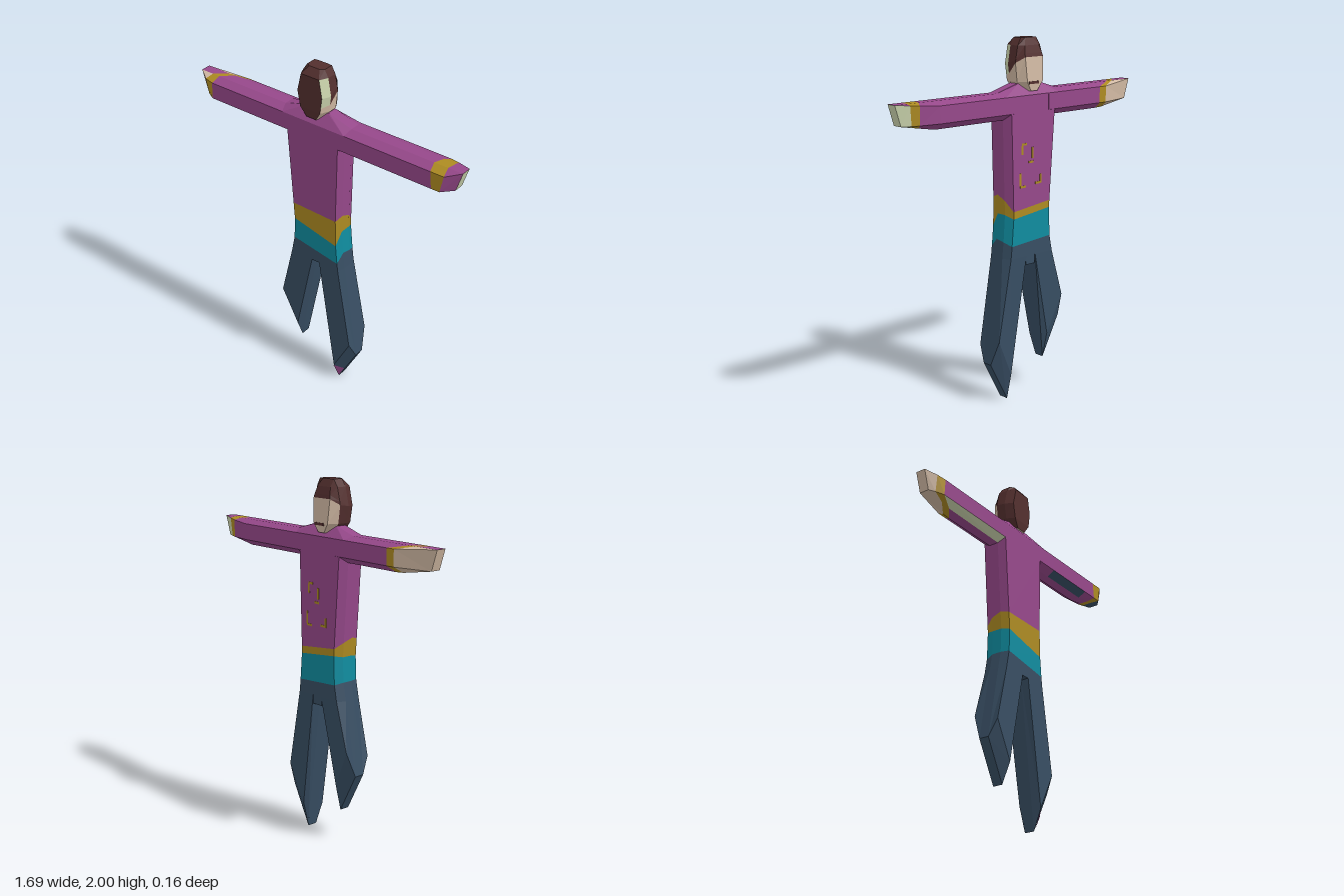
import * as THREE from 'three';

const paint = (name, color) => Object.assign(new THREE.MeshStandardMaterial({ color }), { name });
const purple = paint('purple', 0x96488a), gold = paint('gold', 0xad8b22), teal = paint('teal', 0x108c9f);
const navy = paint('navy', 0x384e63), brown = paint('brown', 0x532f2e);
const skin = paint('skin', 0xd2baa4), pale = paint('pale', 0xccd5ae);

const V = (x, y, z) => new THREE.Vector3(x, y, z);
const lerp = THREE.MathUtils.lerp;

// Value at y from a table of [y, value...] rows in rising y
function sample(rows, y, k) {
  let i = 0;
  while (i < rows.length - 2 && y > rows[i + 1][0]) i++;
  const a = rows[i], b = rows[i + 1];
  const t = THREE.MathUtils.clamp((y - a[0]) / (b[0] - a[0]), 0, 1);
  return lerp(a[k], b[k], t);
}

// Faceted skin through rings of eight points; colour(band, side) picks the
// material, with side -1 for the first cap and -2 for the last
function loft(name, rings, colour) {
  const tris = [];
  const add = (mat, a, b, c) => tris.push({ mat, p: [a, b, c] });
  for (let i = 0; i < rings.length - 1; i++) {
    for (let j = 0; j < 8; j++) {
      const k = (j + 1) % 8, m = colour(i, j);
      add(m, rings[i][j], rings[i][k], rings[i + 1][k]);
      add(m, rings[i][j], rings[i + 1][k], rings[i + 1][j]);
    }
  }
  const first = rings[0], last = rings[rings.length - 1];
  for (let j = 1; j < 7; j++) {
    add(colour(0, -1), first[0], first[j + 1], first[j]);
    add(colour(rings.length - 2, -2), last[0], last[j], last[j + 1]);
  }
  // Turn all faces outward
  let volume = 0;
  const centre = first[0];
  for (const { p } of tris) {
    const [a, b, c] = p.map(q => q.clone().sub(centre));
    volume += a.dot(b.cross(c));
  }
  if (volume < 0) tris.forEach(t => t.p.reverse());
  const mats = [...new Set(tris.map(t => t.mat))];
  const pts = [], geo = new THREE.BufferGeometry();
  mats.forEach((m, n) => {
    const start = pts.length;
    tris.filter(t => t.mat === m).forEach(t => pts.push(...t.p));
    geo.addGroup(start, pts.length - start, n);
  });
  geo.setFromPoints(pts);
  geo.computeVertexNormals();
  const mesh = new THREE.Mesh(geo, mats);
  mesh.name = name;
  return mesh;
}

// Bevelled horizontal section: points 0-3 on +x from front to back, 4-7 on -x
function section(ys, left, right, inF, inB, zf, zb) {
  const at = (f, j) => (typeof f === 'function' ? f(ys[j]) : f);
  return ys.map((y, j) => {
    const q = j < 4 ? j : 7 - j, s = j < 4 ? 1 : -1;
    const x = at(j < 4 ? right : left, j) - s * [inF, 0, 0, inB][q];
    const z = [at(zf, j), Math.min(0.03, at(zf, j)), Math.max(-0.027, at(zb, j)), at(zb, j)][q];
    return V(x, y, z);
  });
}
const level = y => Array(8).fill(y);

function torso() {
  const sides = [[0.82, -0.2, 0.147], [0.93, -0.178, 0.135], [1.05, -0.175, 0.126], [1.6, -0.215, 0.14], [1.7, -0.25, 0.18]];
  const ring = ys => section(ys, y => sample(sides, y, 1), y => sample(sides, y, 2), 0.012, 0.02, 0.077, -0.076);
  const rings = [
    ring(level(0.82)),
    ring([0.87, 0.92, 0.91, 0.89, 0.91, 0.92, 0.92, 0.92]),
    ring([0.985, 1.06, 1.06, 1.04, 1.07, 1.06, 1.06, 1.05]),
    ring([1.145, 1.165, 1.14, 1.08, 1.11, 1.14, 1.16, 1.15]),
    ring(level(1.6)),
    ring([1.695, 1.72, 1.72, 1.7, 1.7, 1.72, 1.72, 1.695]),
    section(level(1.76), -0.12, 0.04, 0.01, 0.01, 0.032, -0.028),
  ];
  return loft('torso', rings, i => [navy, teal, gold, purple, purple, purple][i]);
}

// Arm section as [z, y, x where the taper starts], then the tip section
const armBase = [[0.077, 1.695, 0.77], [0.03, 1.72, 0.8], [-0.027, 1.72, 0.8], [-0.077, 1.7, 0.62],
  [-0.077, 1.61, 0.62], [-0.027, 1.575, 0.6], [0.03, 1.575, 0.6], [0.077, 1.6, 0.75]];
const armTip = [[0.03, 1.72], [0.03, 1.72], [-0.027, 1.72], [-0.027, 1.72],
  [-0.027, 1.61], [-0.027, 1.61], [0.03, 1.61], [0.03, 1.61]];
const tipX = [0.845, 0.845, 0.845, 0.845, 0.81, 0.81, 0.81, 0.81];

function arm(name, s, stations, colour) {
  const rings = [...stations, tipX].map(xs => xs.map((x, j) => {
    const [z, y, start] = armBase[j];
    const t = Math.max(0, (x - start) / (tipX[j] - start)), u = j === 3 || j === 4 ? t ** 1.7 : t;
    return V(s * x, lerp(y, armTip[j][1], t), lerp(z, armTip[j][0], u));
  }));
  return loft(name, rings, colour);
}

// Leg between a top edge and a slanted foot edge, each given outer to inner
function leg(name, s, topOut, topIn, [ox, oy], [ix, iy]) {
  const top = [V(topOut - s * 0.012, 0.82, 0.077), V(topOut, 0.82, 0.03), V(topOut, 0.82, -0.027), V(topOut - s * 0.02, 0.82, -0.076),
    V(topIn + s * 0.008, 0.82, -0.076), V(topIn, 0.82, -0.027), V(topIn, 0.82, 0.03), V(topIn, 0.82, 0.077)];
  const foot = [V(ox - s * 0.016, oy + 0.095, 0.077), V(ox, oy, 0.03), V(ox, oy, -0.027), V(ox - s * 0.02, oy + 0.14, -0.076),
    V(ix, iy + 0.15, -0.062), V(ix, iy, -0.027), V(ix, iy, 0.03), V(ix - s * 0.003, iy + 0.115, 0.077)];
  const toe = [1, 1, 2, 2, 5, 5, 6, 6].map(j => foot[j]);
  return loft(name, [top, foot, toe], () => navy);
}

function head() {
  const rows = [[1.72, -0.1, 0.005, 0.07, -0.07], [1.77, -0.135, 0.037, 0.077, -0.076], [1.86, -0.152, 0.05, 0.077, -0.077],
    [1.92, -0.14, 0.042, 0.077, -0.062], [1.96, -0.128, 0.032, 0.077, -0.05], [2, -0.1, 0.01, 0.045, -0.03]];
  const ring = ys => section(ys, ...[1, 2].map(k => y => sample(rows, y, k)), 0.022, 0.03, ...[3, 4].map(k => y => sample(rows, y, k)));
  const rings = [
    ring(level(1.72)), ring(level(1.77)),
    ring([1.8, 1.81, 1.87, 1.9, 1.9, 1.87, 1.8, 1.8]),
    ring([1.86, 1.86, 1.89, 1.92, 1.92, 1.89, 1.86, 1.86]),
    ring(level(1.96)), ring(level(2)),
  ];
  return loft('head', rings, (i, j) => {
    if (j === -1) return skin;
    if (i < 2) return j >= 0 && j <= 4 ? skin : brown;
    return j === 0 && i < 4 ? pale : brown;
  });
}

function plate(name, mat, w, h, d, x, y, z) {
  const mesh = new THREE.Mesh(new THREE.BoxGeometry(w, h, d), mat);
  mesh.name = name;
  mesh.position.set(x, y, z);
  return mesh;
}

export function createModel() {
  const model = new THREE.Group();
  model.name = 'figure';
  model.add(torso(), head());

  // Arms with gold cuffs
  model.add(arm('leftArm', 1, [
    level(0.1), level(0.27), level(0.6),
    [0.69, 0.68, 0.7, 0.72, 0.72, 0.7, 0.7, 0.7],
    [0.768, 0.76, 0.77, 0.77, 0.76, 0.74, 0.74, 0.748],
  ], (i, j) => {
    if (j === -2) return pale;
    if (i === 1 && j === 6) return navy;
    if (i === 3) return gold;
    if (i === 4) return [purple, purple, purple, pale, pale, navy, navy, purple][j];
    return purple;
  }));
  model.add(arm('rightArm', -1, [
    level(0.15), level(0.2),
    [0.73, 0.72, 0.66, 0.55, 0.55, 0.57, 0.64, 0.735],
    [0.785, 0.765, 0.7, 0.6, 0.6, 0.62, 0.7, 0.78],
  ], (i, j) => {
    if (j === -2) return skin;
    if (i === 1 && j === 6) return pale;
    if (i === 2) return gold;
    if (i === 3) return j === 1 ? purple : skin;
    return purple;
  }));

  // Legs and the piece joining them
  model.add(leg('leftLeg', 1, 0.147, 0.005, [0.235, 0.23], [0.115, 0.005]));
  model.add(leg('rightLeg', -1, -0.2, -0.045, [-0.28, 0.41], [-0.16, 0.185]));
  model.add(plate('crotch', navy, 0.064, 0.06, 0.07, -0.02, 0.8, -0.038));

  // Purple patch on the left toe
  const patch = new THREE.BufferGeometry().setFromPoints([V(0.112, 0.12, 0.08), V(0.116, 0.012, 0.036), V(0.157, 0.09, 0.038)]);
  patch.computeVertexNormals();
  const toePatch = new THREE.Mesh(patch, purple);
  toePatch.name = 'toePatch';
  model.add(toePatch);

  // Chin shadow of hair and gold flecks on the back
  model.add(plate('chinHair', brown, 0.07, 0.014, 0.006, -0.04, 1.765, -0.076));
  [[0.035, 0.012, 0.03, 1.44], [0.012, 0.05, 0.045, 1.41], [0.012, 0.06, -0.03, 1.39], [0.035, 0.012, -0.02, 1.34],
    [0.012, 0.07, 0.06, 1.25], [0.04, 0.012, 0.04, 1.21], [0.012, 0.05, -0.09, 1.24], [0.04, 0.012, -0.07, 1.22]]
    .forEach(([w, h, x, y]) => model.add(plate('backFleck', gold, w, h, 0.006, x, y, -0.075)));
  return model;
}
